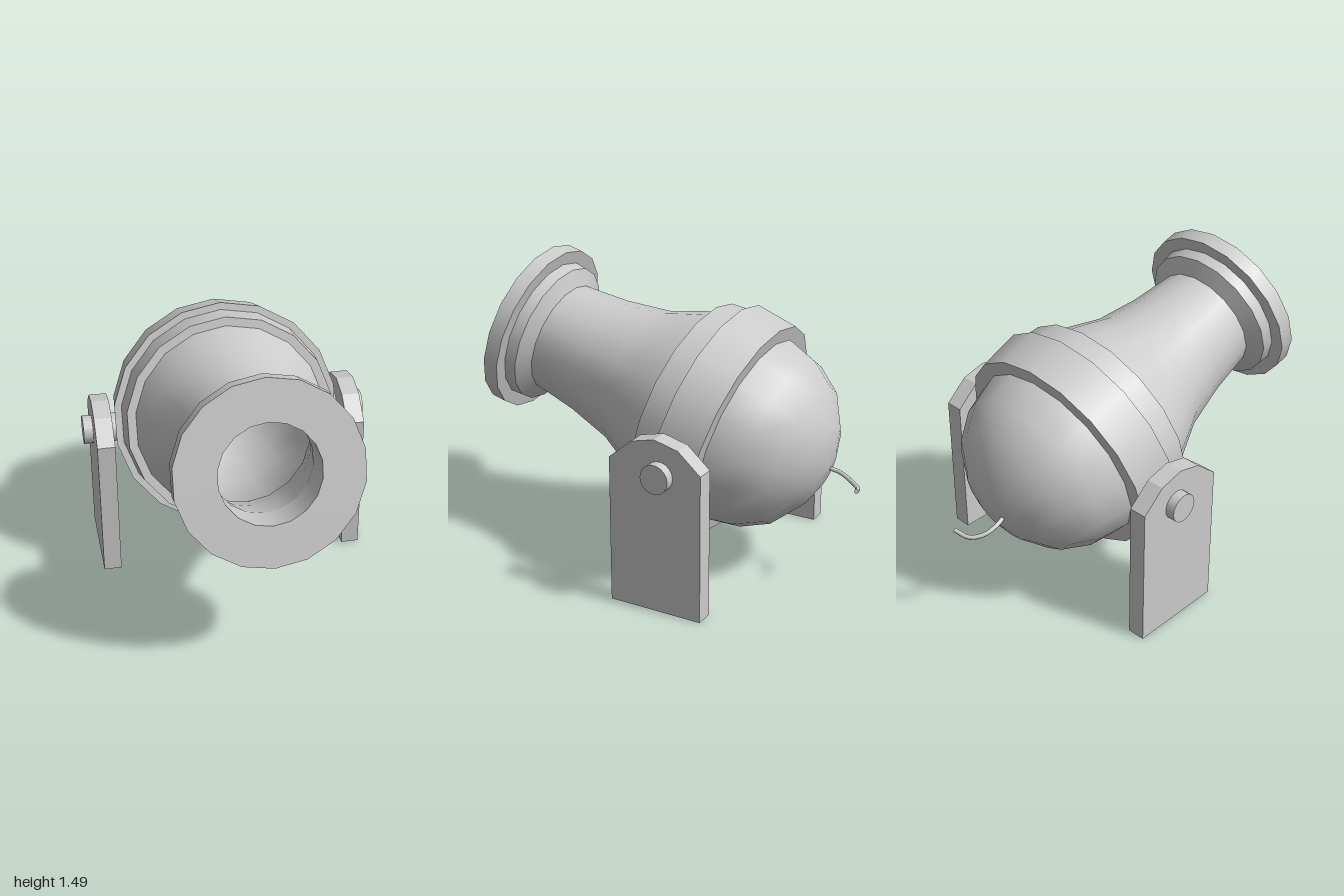
import * as THREE from 'three';

const SIDES = 18;
const TILT = THREE.MathUtils.degToRad(16);
const material = new THREE.MeshStandardMaterial({ color: 0xcccccc });

function add(parent, name, geometry) {
  const mesh = new THREE.Mesh(geometry, material);
  mesh.name = name;
  parent.add(mesh);
  return mesh;
}

// Turned surface from [radius, distance along the bore] points, smooth along its length
function turned(parent, name, profile) {
  return add(parent, name, new THREE.LatheGeometry(profile.map(([r, s]) => new THREE.Vector2(r, s)), SIDES));
}

// Turned surface with a sharp edge at every profile point
function turnedSharp(parent, name, profile) {
  const group = new THREE.Group();
  group.name = name;
  for (let i = 0; i < profile.length - 1; i++) turned(group, name + 'Face' + (i + 1), [profile[i], profile[i + 1]]);
  parent.add(group);
}

function createBarrel() {
  const barrel = new THREE.Group();
  barrel.name = 'barrel';

  // Rounded breech and flared tube
  turned(barrel, 'breechDome', [
    [0, -0.56], [0.11, -0.55], [0.22, -0.51], [0.365, -0.41], [0.45, -0.275], [0.488, -0.13], [0.495, -0.05],
  ]);
  turned(barrel, 'barrelTube', [
    [0.5, 0.2], [0.478, 0.25], [0.425, 0.38], [0.362, 0.525], [0.315, 0.76], [0.29, 1.0], [0.29, 1.01],
  ]);

  // Stepped reinforcing bands
  turnedSharp(barrel, 'wideBand', [[0.48, -0.116], [0.562, -0.116], [0.58, 0.1], [0.5, 0.1]]);
  turnedSharp(barrel, 'narrowBand', [[0.545, 0.09], [0.53, 0.232], [0.47, 0.232]]);

  // Muzzle collar and lip
  turnedSharp(barrel, 'muzzleCollar', [[0.28, 1.0], [0.37, 1.05], [0.375, 1.11]]);
  turnedSharp(barrel, 'muzzleLip', [[0.36, 1.11], [0.442, 1.11], [0.442, 1.19], [0.24, 1.19], [0.24, 1.0]]);

  // Hollow inside, widening towards the breech
  turned(barrel, 'boreChamber', [
    [0.24, 1.0], [0.285, 0.76], [0.34, 0.525], [0.4, 0.38], [0.455, 0.25], [0.475, 0.0],
    [0.46, -0.13], [0.42, -0.27], [0.33, -0.4], [0.2, -0.49], [0, -0.53],
  ]);

  barrel.rotation.x = Math.PI / 2 - TILT;
  barrel.position.set(0, 0.742, -0.27);
  return barrel;
}

// Upright plate with a rounded top, and the pin through it
function createSupport(side) {
  const support = new THREE.Group();
  support.name = side > 0 ? 'leftSupport' : 'rightSupport';

  // Outline drawn in (-z, y), extruded along x
  const outline = [
    [0, 0], [0.485, 0], [0.485, 0.745], [0.368, 0.847], [0.243, 0.878], [0.12, 0.847], [0, 0.745],
  ];
  const shape = new THREE.Shape(outline.map(([z, y]) => new THREE.Vector2(z, y)));
  const plate = new THREE.ExtrudeGeometry(shape, { depth: 0.09, bevelEnabled: false });
  plate.rotateY(Math.PI / 2);
  plate.translate(side > 0 ? 0.595 : -0.685, 0, 0);
  add(support, 'supportPlate', plate);

  const pin = add(support, 'pivotPin', new THREE.CylinderGeometry(0.073, 0.073, 0.213, SIDES));
  pin.rotation.z = Math.PI / 2;
  pin.position.set(side * 0.6265, 0.702, -0.268);
  return support;
}

export function createModel() {
  const model = new THREE.Group();
  model.name = 'cannon';
  model.add(createBarrel(), createSupport(1), createSupport(-1));

  // Curled fuse at the breech
  const path = new THREE.CatmullRomCurve3([
    [-0.055, 0.58, -0.78], [-0.065, 0.56, -0.85], [-0.05, 0.537, -0.91], [-0.005, 0.527, -0.965], [0.07, 0.545, -0.99],
  ].map((p) => new THREE.Vector3(...p)));
  add(model, 'fuse', new THREE.TubeGeometry(path, 14, 0.011, 8));
  const tip = add(model, 'fuseTip', new THREE.CircleGeometry(0.011, 8));
  tip.position.copy(path.getPoint(1));
  tip.quaternion.setFromUnitVectors(new THREE.Vector3(0, 0, 1), path.getTangent(1));
  return model;
}
